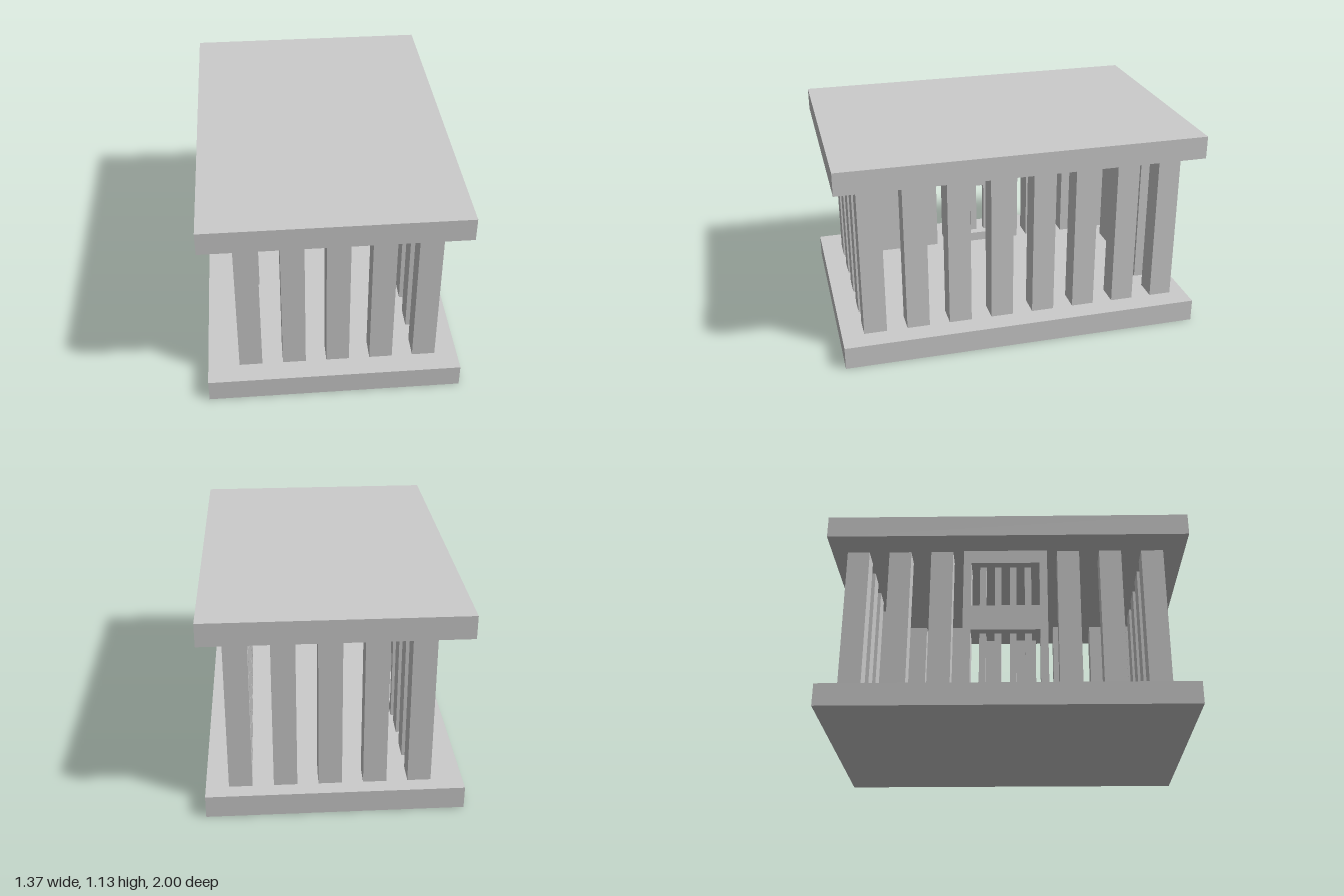
import * as THREE from 'three';

export function createModel() {
  const model = new THREE.Group();
  const material = new THREE.MeshStandardMaterial({ color: 0xcccccc, flatShading: true });

  // Box given by its minimum and maximum corners
  function block(name, min, max, parent = model) {
    const size = max.map((v, i) => v - min[i]);
    const mesh = new THREE.Mesh(new THREE.BoxGeometry(...size), material);
    mesh.position.set(...max.map((v, i) => (v + min[i]) / 2));
    mesh.name = name;
    parent.add(mesh);
  }

  const floorY = 0.125, ceilingY = 1.01;

  // Floor and roof slabs
  block('floorSlab', [-0.685, 0, -1], [0.685, floorY, 1]);
  block('roofSlab', [-0.685, ceilingY, -1], [0.685, 1.135, 1]);

  // Square pillars around the perimeter, leaving the doorway on one side
  const pillars = new THREE.Group();
  pillars.name = 'pillars';
  model.add(pillars);
  const half = 0.0625, columns = 5, rows = 8;
  for (let i = 0; i < columns; i++) {
    for (let j = 0; j < rows; j++) {
      const onEdge = i === 0 || i === columns - 1 || j === 0 || j === rows - 1;
      const inDoorway = i === 0 && (j === 3 || j === 4);
      if (!onEdge || inDoorway) continue;
      const x = -0.452 + i * 0.238;
      const z = -0.85 + j * 0.238;
      block('pillar', [x - half, floorY, z - half], [x + half, ceilingY, z + half], pillars);
    }
  }

  // Door frame: one panel with two window openings, extruded across x
  const door = new THREE.Group();
  door.name = 'barredDoor';
  model.add(door);
  const zMin = -0.25, zMax = 0.22, openMin = -0.206, openMax = 0.177;
  const windows = [[0.18, 0.51], [0.66, 0.93]];
  const rectangle = (path, a, b, c, d) =>
    path.moveTo(a, c).lineTo(b, c).lineTo(b, d).lineTo(a, d).closePath();
  // Shape x stands for -z, so that a quarter turn lays it along the side
  const panel = rectangle(new THREE.Shape(), -zMax, -zMin, floorY, ceilingY);
  for (const [low, high] of windows) {
    panel.holes.push(rectangle(new THREE.Path(), -openMax, -openMin, low, high));
  }
  const frame = new THREE.Mesh(
    new THREE.ExtrudeGeometry(panel, { depth: 0.14, bevelEnabled: false }), material);
  frame.rotation.y = Math.PI / 2;
  frame.position.x = -0.522;
  frame.name = 'doorFrame';
  door.add(frame);

  // Four bars in each window
  const bars = 4, gap = 0.047;
  const barWidth = (openMax - openMin - gap * (bars + 1)) / bars;
  for (const [low, high] of windows) {
    for (let i = 0; i < bars; i++) {
      const z = openMin + gap + i * (gap + barWidth);
      block('doorBar', [-0.472, low, z], [-0.432, high, z + barWidth], door);
    }
  }

  return model;
}
